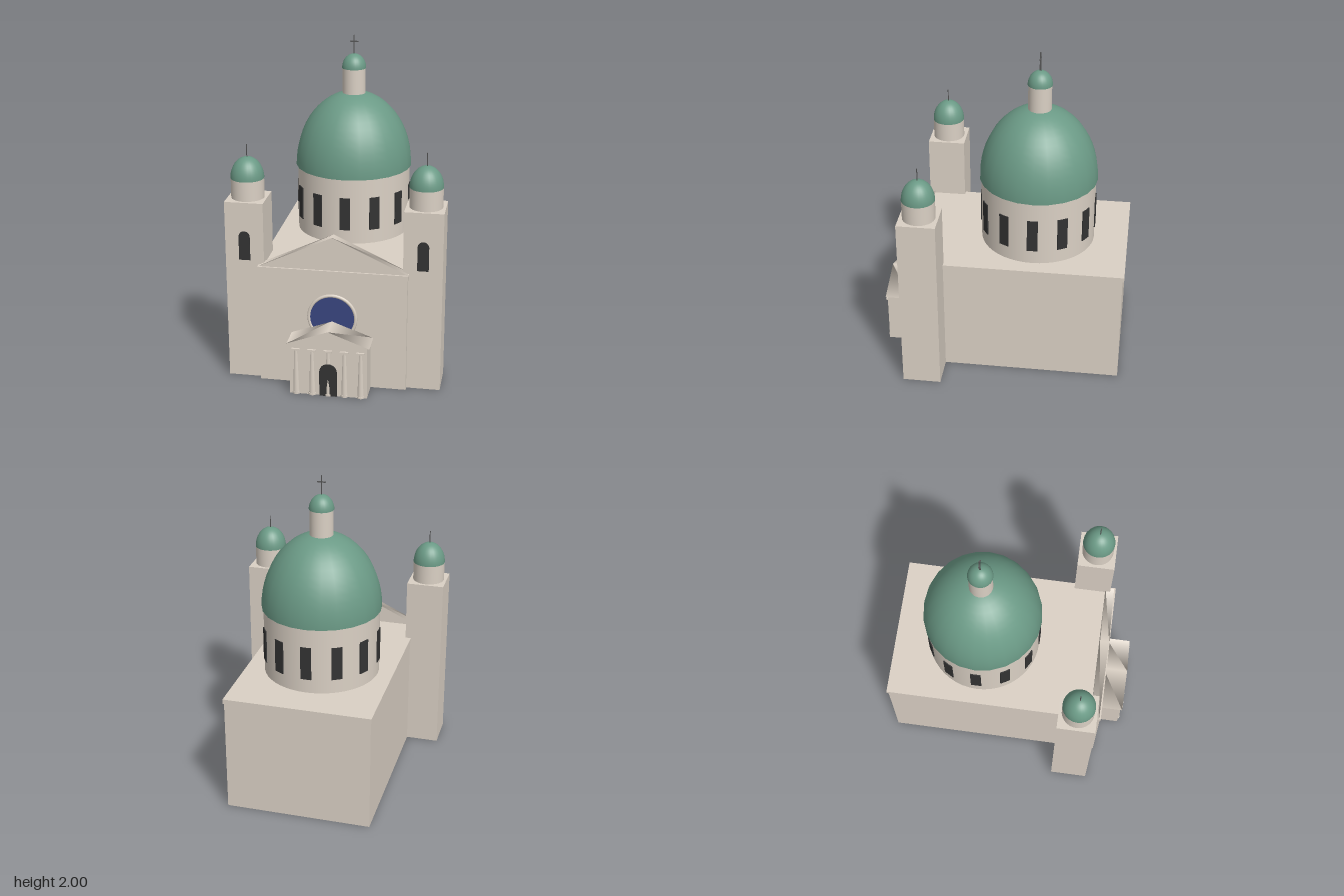
import * as THREE from 'three';
import { mergeGeometries } from 'three/addons/utils/BufferGeometryUtils.js';

const material = (name, color) => {
  const m = new THREE.MeshStandardMaterial({ color });
  m.name = name;
  return m;
};

export function createModel() {
  const stone = material('stone', 0xdad0c4);
  const copper = material('green copper', 0x6b9a86);
  const dark = material('dark opening', 0x333333);
  const blue = material('blue glass', 0x3a4680);
  const iron = material('iron', 0x555555);

  // Stone blocks on the ground have a dark underside
  const footed = [stone, stone, stone, dark, stone, stone];

  const model = new THREE.Group();
  model.name = 'domedChurch';

  const add = (name, geometry, mat, x = 0, y = 0, z = 0, parent = model) => {
    const mesh = new THREE.Mesh(geometry, mat);
    mesh.name = name;
    mesh.position.set(x, y, z);
    parent.add(mesh);
    return mesh;
  };

  // Box given by its width, vertical range and depth range
  const block = (name, mat, x, width, y0, y1, z0, z1, parent) =>
    add(name, new THREE.BoxGeometry(width, y1 - y0, z1 - z0), mat,
      x, (y0 + y1) / 2, (z0 + z1) / 2, parent);

  // Upright cylinder standing on y0
  const column = (name, mat, rTop, rBottom, y0, y1, x, z, parent, sides = 32) =>
    add(name, new THREE.CylinderGeometry(rTop, rBottom, y1 - y0, sides), mat,
      x, (y0 + y1) / 2, z, parent);

  // Stretched half sphere closed underneath
  const dome = (name, r, h, x, y, z, parent) => {
    const shell = new THREE.SphereGeometry(r, 24, 14, 0, Math.PI * 2, 0, Math.PI / 2);
    shell.scale(1, h / r, 1);
    const base = new THREE.CircleGeometry(r, 24).rotateX(Math.PI / 2);
    return add(name, mergeGeometries([shell, base]), copper, x, y, z, parent);
  };

  // Gable as a three-sided cylinder lying along z
  const gable = (name, halfWidth, y0, y1, z0, z1, parent) => {
    const g = new THREE.CylinderGeometry(1, 1, z1 - z0, 3);
    g.rotateX(-Math.PI / 2);
    g.translate(0, 0.5, 0);
    g.scale(halfWidth / Math.sin(Math.PI / 3), (y1 - y0) / 1.5, 1);
    return add(name, g, stone, 0, y0, (z0 + z1) / 2, parent);
  };

  // Round-headed opening as a thin plate
  const arch = (name, halfWidth, y0, y1, x, z, parent) => {
    const s = new THREE.Shape();
    s.moveTo(-halfWidth, 0);
    s.lineTo(halfWidth, 0);
    s.lineTo(halfWidth, y1 - y0 - halfWidth);
    s.absarc(0, y1 - y0 - halfWidth, halfWidth, 0, Math.PI, false);
    s.closePath();
    const g = new THREE.ExtrudeGeometry(s, { depth: 0.008, bevelEnabled: false, curveSegments: 16 });
    return add(name, g, dark, x, y0, z - 0.008, parent);
  };

  // Nave, cornice and facade gable
  block('nave', footed, 0, 0.9, 0, 0.72, -0.76, 0.61);
  block('cornice', stone, 0, 0.91, 0.72, 0.75, -0.77, 0.615);
  gable('facadeGable', 0.45, 0.75, 0.96, 0.547, 0.604);

  // Rose window: glass disc inside a stone ring
  const glass = new THREE.CylinderGeometry(0.134, 0.134, 0.008, 40).rotateX(Math.PI / 2);
  add('roseWindow', glass, blue, 0, 0.447, 0.611);
  add('roseRing', new THREE.TorusGeometry(0.143, 0.01, 10, 40), stone, 0, 0.447, 0.61);

  // Central drum, windows, dome and lantern
  const crown = new THREE.Group();
  crown.name = 'centralDome';
  crown.position.z = -0.198;
  model.add(crown);
  column('drum', stone, 0.358, 0.358, 0.75, 1.172, 0, 0, crown, 48);
  for (let i = 0; i < 12; i++) {
    const a = (i * Math.PI) / 6;
    const w = add('drumWindow', new THREE.BoxGeometry(0.066, 0.21, 0.009), dark,
      Math.sin(a) * 0.3585, 0.945, Math.cos(a) * 0.3585, crown);
    w.rotation.y = a;
  }
  dome('mainDome', 0.369, 0.474, 0, 1.17, 0, crown);
  column('lantern', stone, 0.072, 0.072, 1.6, 1.795, 0, 0, crown);
  dome('lanternDome', 0.076, 0.09, 0, 1.793, 0, crown);
  block('crossPost', iron, 0, 0.005, 1.88, 2, -0.005, 0.005, crown);
  block('crossArm', iron, 0, 0.052, 1.957, 1.963, -0.004, 0.004, crown);

  // Bell towers on both sides
  for (const side of [-1, 1]) {
    const tower = new THREE.Group();
    tower.name = side > 0 ? 'leftTower' : 'rightTower';
    tower.position.set(side * 0.537, 0, 0.461);
    model.add(tower);
    block('towerShaft', footed, 0, 0.235, 0, 1.137, -0.118, 0.118, tower);
    arch('towerWindow', 0.034, 0.775, 0.957, 0, 0.123, tower);
    column('towerDrum', stone, 0.1, 0.1, 1.137, 1.26, 0, 0, tower);
    dome('towerDome', 0.101, 0.13, 0, 1.258, 0, tower);
    column('spire', iron, 0.003, 0.003, 1.385, 1.466, 0, 0, tower, 8);
  }

  // Entrance porch with gable, door and engaged columns
  const porch = new THREE.Group();
  porch.name = 'porch';
  model.add(porch);
  block('porchBody', footed, 0, 0.47, 0, 0.332, 0.6, 0.756, porch);
  gable('porchRoof', 0.25, 0.332, 0.425, 0.605, 0.766, porch);
  arch('door', 0.053, 0, 0.21, 0, 0.764, porch);
  for (let i = -2; i <= 2; i++) {
    const x = i * 0.098;
    column('porchColumn', stone, 0.014, 0.022, 0.012, 0.29, x, 0.745, porch, 16);
    column('columnBase', [stone, stone, dark], 0.025, 0.025, 0, 0.012, x, 0.745, porch, 16);
    block('columnCapital', stone, x, 0.05, 0.29, 0.302, 0.72, 0.77, porch);
  }

  return model;
}
